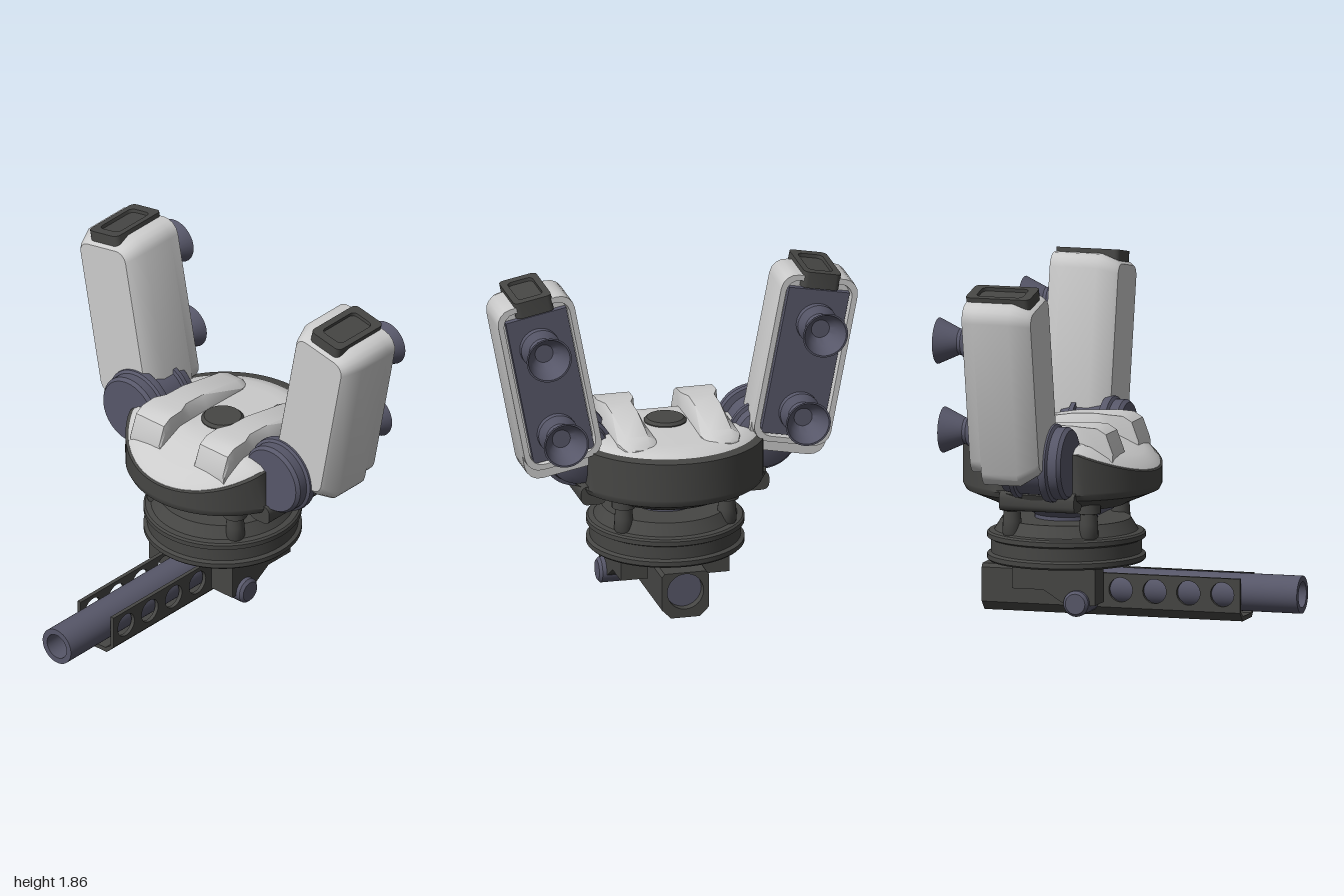
import * as THREE from 'three';
import { toCreasedNormals, mergeVertices } from 'three/addons/utils/BufferGeometryUtils.js';

const LIGHT = new THREE.MeshStandardMaterial({ color: 0xcccccc });
const DARK = new THREE.MeshStandardMaterial({ color: 0x464644 });
const STEEL = new THREE.MeshStandardMaterial({ color: 0x575769 });

function part(parent, name, geometry, material, x = 0, y = 0, z = 0) {
  const mesh = new THREE.Mesh(toCreasedNormals(geometry, 0.6), material);
  mesh.name = name;
  mesh.position.set(x, y, z);
  parent.add(mesh);
  return mesh;
}

const lathe = (points, segments = 40) =>
  new THREE.LatheGeometry(points.map(p => new THREE.Vector2(...p)), segments);

const polygon = points => new THREE.Shape(points.map(p => new THREE.Vector2(...p)));

const extrude = (shape, depth) =>
  new THREE.ExtrudeGeometry(shape, { depth, bevelEnabled: false, curveSegments: 16 });

function roundHole(shape, x, y, r) {
  shape.holes.push(new THREE.Path().absarc(x, y, r, 0, Math.PI * 2, true));
}

// Rounded rectangle outline, counter-clockwise
function roundedRect(x0, x1, y0, y1, r) {
  const points = [];
  [[x1 - r, y0 + r], [x1 - r, y1 - r], [x0 + r, y1 - r], [x0 + r, y0 + r]].forEach(([cx, cy], c) => {
    for (let i = 0; i <= 4; i++) {
      const a = (c - 1 + i / 4) * Math.PI / 2;
      points.push([cx + r * Math.cos(a), cy + r * Math.sin(a)]);
    }
  });
  return points;
}

// Skin over rings of [x, y] at increasing z, with both ends capped
function loft(rings) {
  const n = rings[0].points.length, pos = [], index = [];
  for (const { points, z } of rings) for (const [x, y] of points) pos.push(x, y, z);
  for (let k = 0; k < rings.length - 1; k++) for (let i = 0; i < n; i++) {
    const a = k * n + i, b = k * n + (i + 1) % n;
    index.push(a, b, b + n, a, b + n, a + n);
  }
  const last = (rings.length - 1) * n;
  for (let i = 1; i < n - 1; i++) {
    index.push(0, i + 1, i, last, last + i, last + i + 1);
  }
  const g = new THREE.BufferGeometry();
  g.setAttribute('position', new THREE.Float32BufferAttribute(pos, 3));
  g.setIndex(index);
  return g;
}

// Disc whose front slopes down and whose sides are cut flat
function bentDisc(points, cz) {
  const g = lathe(points, 72), p = g.attributes.position;
  for (let i = 0; i < p.count; i++) {
    const y = p.getY(i), z = p.getZ(i) + cz;
    if (y > 0.75) p.setY(i, y - 0.42 * Math.max(0, z + 0.18));
    if (y > 0.705) p.setX(i, THREE.MathUtils.clamp(p.getX(i), -0.48, 0.48));
    p.setZ(i, z);
  }
  return g;
}

function addBody(root) {
  part(root, 'hull', bentDisc([[0, 0.59], [0.34, 0.59], [0.38, 0.61], [0.52, 0.67], [0.535, 0.7],
    [0.535, 0.71], [0.535, 0.92], [0.48, 0.93], [0, 0.93]], -0.405), DARK);
  part(root, 'topCover', bentDisc([[0.505, 0.88], [0.505, 0.925], [0.48, 0.945], [0.42, 0.96], [0.36, 0.962],
    [0.3, 0.964], [0.24, 0.966], [0.16, 0.968], [0.08, 0.97], [0, 0.97]], -0.385), LIGHT);
  part(root, 'hatchKnob', lathe([[0.115, 0.9], [0.115, 0.975], [0.1, 0.99], [0, 0.99]]), DARK, 0, 0, -0.385);

  for (const s of [-1, 1]) {
    // Long blister, full width at the front and narrowing behind
    const sections = [[-0.77, 0.05, 0.03, 0.955], [-0.74, 0.085, 0.05, 0.975], [-0.68, 0.107, 0.06, 1.0],
      [-0.4, 0.107, 0.07, 1.045], [-0.27, 0.107, 0.07, 1.05], [-0.2, 0.107, 0.1, 1.05],
      [-0.11, 0.107, 0.1, 1.045], [-0.06, 0.107, 0.1, 1.015], [-0.02, 0.107, 0.1, 0.91]];
    part(root, 'topBlister', loft(sections.map(([z, b, t, y]) => ({
      z, points: [[-b, 0.85], [b, 0.85], [b, Math.min(0.97, y - 0.02)], [t, y], [-t, y], [-b, Math.min(0.97, y - 0.02)]],
    }))), LIGHT, s * 0.23);

    // Side skirt under the shoulder
    const skirt = loft([-0.6, -0.18].map(z => ({ z, points: roundedRect(-0.07, 0.07, 0.605, 0.71, 0.035) })));
    part(root, 'sideSkirt', skirt, DARK, s * 0.45);
  }
}

function addShoulder(root, s) {
  const drum = lathe([[0, -0.575], [0.12, -0.575], [0.165, -0.55], [0.175, -0.5], [0.195, -0.495], [0.195, -0.47],
    [0.175, -0.465], [0.175, -0.325], [0.21, -0.32], [0.213, -0.3], [0.21, -0.28], [0.195, -0.27],
    [0.195, -0.22], [0.18, -0.2], [0, -0.2]], 48).rotateX(Math.PI / 2);
  part(root, 'shoulderDrum', drum, STEEL, s * 0.515, 0.88, 0);
}

function addPod(root, s) {
  const pod = new THREE.Group();
  pod.name = s > 0 ? 'leftPod' : 'rightPod';
  pod.position.set(s * 0.702, 1.31, 0);
  pod.rotation.z = -s * 0.19;
  root.add(pod);

  // Shell with a bevelled front and a recessed back
  const ring = (z, inset, lift = 0) => ({
    z, points: roundedRect(-0.215 + inset, 0.215 - inset, -0.51 + inset + lift, 0.51 - inset, 0.085 - inset * 0.5),
  });
  part(pod, 'podShell', loft([ring(-0.62, 0.035, 0.07), ring(-0.66, 0.03, 0.07), ring(-0.66, 0, 0.07),
    ring(-0.6, 0, 0.07), ring(-0.6, 0), ring(-0.4, 0), ring(-0.31, 0.035, 0.02), ring(-0.29, 0.05, 0.03)]), LIGHT);
  part(pod, 'backPanel', new THREE.BoxGeometry(0.34, 0.83, 0.05), STEEL, 0, 0.02, -0.63);

  // Top cap: open frame over a floor
  const frame = polygon(roundedRect(-0.105, 0.105, -0.18, 0.18, 0.03));
  frame.holes.push(new THREE.Path(roundedRect(-0.07, 0.07, -0.13, 0.13, 0.03).reverse().map(p => new THREE.Vector2(...p))));
  part(pod, 'capFrame', extrude(frame, 0.09).rotateX(-Math.PI / 2), DARK, 0, 0.445, -0.49);
  part(pod, 'capFloor', new THREE.BoxGeometry(0.16, 0.06, 0.28), DARK, 0, 0.485, -0.49);

  // Thruster bells
  const bell = lathe([[0.11, 0], [0.11, 0.04], [0.075, 0.07], [0.07, 0.09], [0.125, 0.21], [0.115, 0.21],
    [0.085, 0.14], [0.05, 0.1], [0, 0.1]], 32).rotateX(-Math.PI / 2);
  for (const y of [0.25, -0.255]) part(pod, 'thruster', bell, STEEL, s * 0.015, y, -0.65);
}

function addTurretRing(root) {
  part(root, 'turretRing', lathe([[0, 0.28], [0.415, 0.28], [0.425, 0.29], [0.425, 0.315], [0.405, 0.325],
    [0.405, 0.395], [0.425, 0.405], [0.425, 0.43], [0.415, 0.44], [0.385, 0.445], [0.345, 0.51],
    [0, 0.51]], 64), DARK, 0, 0, -0.385);
  part(root, 'neck', lathe([[0.17, 0.5], [0.17, 0.53], [0.245, 0.585], [0.245, 0.62], [0, 0.62]]), STEEL, 0, 0, -0.385);
  part(root, 'neckPlate', new THREE.BoxGeometry(0.27, 0.045, 0.45), STEEL, 0, 0.57, -0.385);
  const post = lathe([[0, 0.44], [0.045, 0.44], [0.052, 0.455], [0.05, 0.52], [0.045, 0.575], [0.065, 0.58],
    [0.065, 0.65], [0, 0.66]], 20);
  for (const x of [-0.285, 0.285]) for (const z of [-0.17, -0.6]) part(root, 'supportPost', post, DARK, x, 0, z);
}

function addGun(root) {
  // Hollow barrel
  part(root, 'barrel', lathe([[0, -0.77], [0.1, -0.77], [0.102, 0.94], [0.07, 0.94], [0.07, 0.8], [0, 0.8]], 40)
    .rotateX(Math.PI / 2), STEEL, 0, 0.147, 0);

  // Cradle: chamfered floor, pierced side walls, rear collar
  part(root, 'cradleFloor', extrude(polygon([[-0.13, 0.05], [-0.08, 0], [0.08, 0], [0.13, 0.05], [0.105, 0.05],
    [0.07, 0.025], [-0.07, 0.025], [-0.105, 0.05]]), 1.45), DARK, 0, 0, -0.82);
  for (const s of [-1, 1]) {
    const wall = polygon([[-0.63, 0.05], [0.82, 0.05], [0.82, 0.235], [-0.63, 0.235]]);
    for (const z of [0.53, 0.34, 0.15, -0.04]) roundHole(wall, -z, 0.147, 0.066);
    part(root, 'cradleWall', extrude(wall, 0.022).rotateY(Math.PI / 2), DARK, s * 0.119 - 0.011);
  }
  const collar = polygon([[-0.13, 0.05], [-0.08, 0], [0.08, 0], [0.13, 0.05], [0.13, 0.235],
    [0.115, 0.255], [-0.115, 0.255], [-0.13, 0.235]]);
  roundHole(collar, 0, 0.147, 0.1);
  part(root, 'rearCollar', extrude(collar, 0.22), DARK, 0, 0, -0.82);

  // Hanging brackets with pivots
  for (const s of [-1, 1]) {
    const side = polygon([[0.13, 0.3], [0.13, 0.08], [0.3, 0.08], [0.42, 0.155], [0.595, 0.155], [0.595, 0.3]]);
    part(root, 'bracket', extrude(side, 0.15).rotateY(Math.PI / 2), DARK, s * 0.225 - 0.075);
    const pivot = lathe([[0, -0.11], [0.07, -0.11], [0.07, 0.095], [0.055, 0.11], [0, 0.11]], 28).rotateZ(-s * Math.PI / 2);
    part(root, 'pivot', pivot, STEEL, s * 0.228, 0.09, -0.23);
  }
}

export function createModel() {
  const root = new THREE.Group();
  root.name = 'gunTurret';
  addBody(root);
  for (const s of [-1, 1]) {
    addShoulder(root, s);
    addPod(root, s);
  }
  addTurretRing(root);
  addGun(root);
  return root;
}
